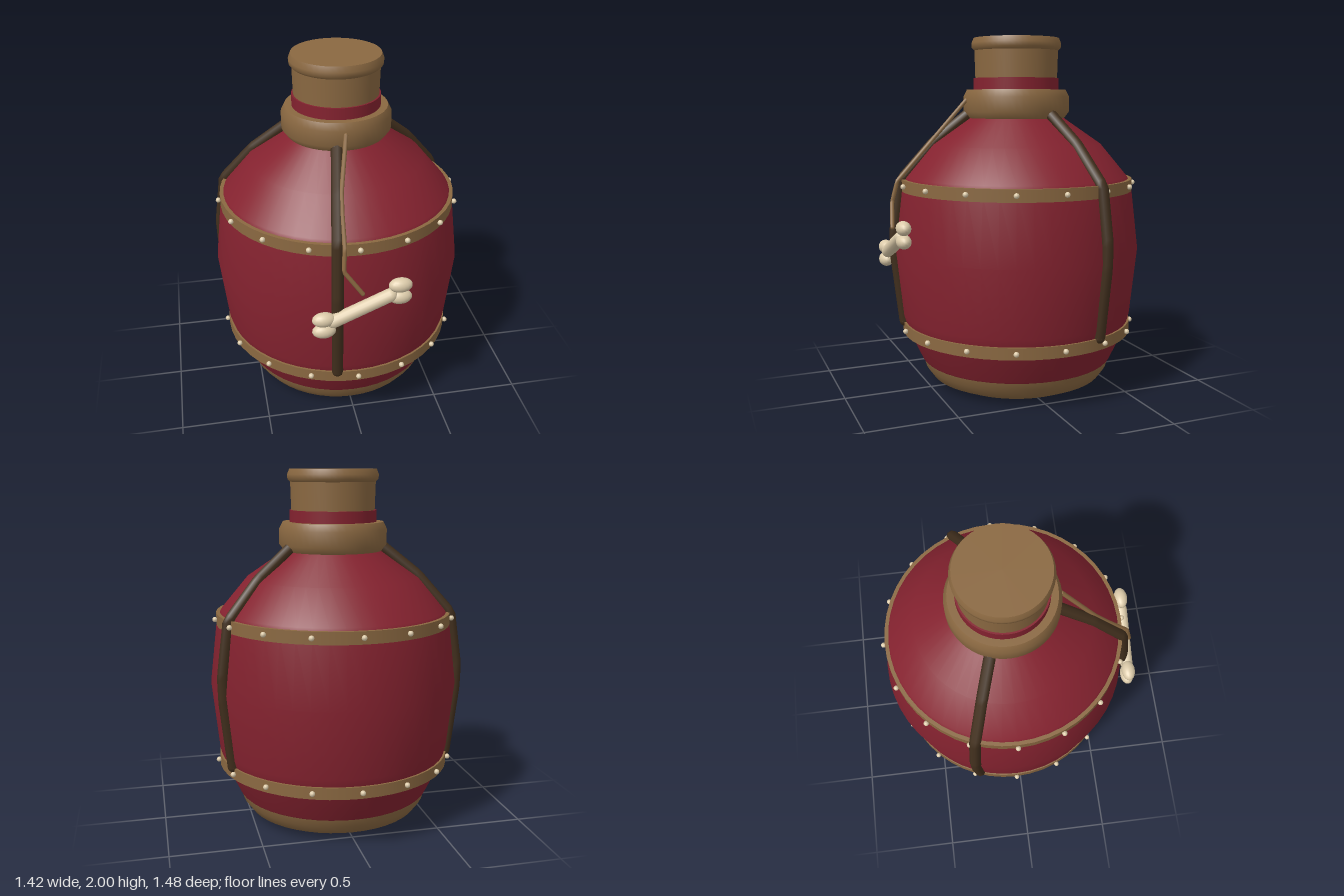
import * as THREE from 'three';

const mat = (name, color, side = THREE.FrontSide) => {
  const m = new THREE.MeshStandardMaterial({ color, side });
  m.name = name;
  return m;
};

export function createModel() {
  const red = mat('red glaze', 0x84222f);
  const tan = mat('tan leather', 0x8a6841);
  const dark = mat('dark strap', 0x412f1d);
  const bone = mat('bone', 0xdccbaa);

  const model = new THREE.Group();
  model.name = 'bottle';
  // everything turned shares one axis, set slightly back
  const vessel = new THREE.Group();
  vessel.name = 'vessel';
  vessel.position.z = -0.035;
  model.add(vessel);

  const add = (parent, name, geo, material) => {
    const m = new THREE.Mesh(geo, material);
    m.name = name;
    parent.add(m);
    return m;
  };
  // profile of [radius, y]; a repeated point makes a sharp edge
  const lathe = (name, pts, material) => add(vessel, name,
    new THREE.LatheGeometry(pts.map(p => new THREE.Vector2(...p)), 48), material);
  // closed round strap through points with straight runs
  const tube = (parent, name, pts, r, material) => {
    const path = new THREE.CurvePath();
    for (let i = 1; i < pts.length; i++) path.add(new THREE.LineCurve3(pts[i - 1], pts[i]));
    const segs = 40, sides = 8;
    const geo = new THREE.TubeGeometry(path, segs, r, sides);
    add(parent, name, geo, material);
    [pts[0], pts[pts.length - 1]].forEach(p => {
      add(parent, name + 'End', new THREE.SphereGeometry(r, sides, 6), material).position.copy(p);
    });
  };

  // body and neck
  lathe('body', [[0.55, 0.14], [0.56, 0.15], [0.645, 0.33], [0.67, 0.42], [0.71, 0.8], [0.665, 1.18],
    [0.64, 1.22], [0.49, 1.4], [0.28, 1.545], [0.245, 1.6]], red);
  lathe('neck', [[0.245, 1.55], [0.245, 1.775], [0.245, 1.775], [0.2, 1.775]], red);

  // base, collar and stopper
  lathe('base', [[0, 0], [0.4, 0], [0.4, 0], [0.5, 0.045], [0.54, 0.1], [0.555, 0.15], [0.555, 0.15], [0.5, 0.15]], tan);
  lathe('collar', [[0.24, 1.545], [0.275, 1.545], [0.275, 1.545], [0.305, 1.585], [0.305, 1.67], [0.285, 1.71],
    [0.285, 1.71], [0.24, 1.71]], tan);
  lathe('stopper', [[0.235, 1.76], [0.24, 1.93], [0.24, 1.93], [0.255, 1.945], [0.257, 1.97], [0.245, 2],
    [0.245, 2], [0, 2]], tan);

  // riveted bands
  for (const [name, y0, y1] of [['lowerBand', 0.312, 0.378], ['upperBand', 1.138, 1.206]]) {
    lathe(name, [[0.62, y0], [0.67, y0], [0.67, y0], [0.67, y1], [0.67, y1], [0.62, y1]], tan);
    for (let i = 0; i < 16; i++) {
      const a = i * Math.PI / 8;
      add(vessel, 'rivet', new THREE.SphereGeometry(0.015, 10, 8), bone)
        .position.set(Math.cos(a) * 0.68, (y0 + y1) / 2 + 0.002, Math.sin(a) * 0.68);
    }
  }

  // three straps from the collar to the lower band
  const strapProfile = [[0.285, 1.57], [0.48, 1.415], [0.67, 1.2], [0.712, 0.9], [0.708, 0.76], [0.663, 0.38]];
  for (const [name, deg] of [['frontStrap', 100], ['leftStrap', -20], ['rightStrap', 200]]) {
    const a = deg * Math.PI / 180;
    tube(vessel, name, strapProfile.map(([r, y]) =>
      new THREE.Vector3(Math.cos(a) * r, y, Math.sin(a) * r)), 0.032, dark);
  }

  // thin cord hanging from the collar
  tube(model, 'cord', [[-0.005, 1.65, 0.27], [-0.065, 1.42, 0.46], [-0.075, 1.34, 0.53], [-0.085, 1.2, 0.655],
    [-0.095, 1.08, 0.685], [0, 0.95, 0.71]].map(p => new THREE.Vector3(...p)), 0.012, tan);

  // bone charm
  const charm = new THREE.Group();
  charm.name = 'boneCharm';
  charm.position.set(0, 0.854, 0.7);
  model.add(charm);
  const shaft = add(charm, 'boneShaft', new THREE.CapsuleGeometry(0.037, 0.33, 6, 14), bone);
  shaft.rotation.z = -Math.PI / 2 + 0.4;
  for (const s of [-1, 1]) for (const dy of [-0.036, 0.036]) {
    const knob = add(charm, 'boneKnob', new THREE.SphereGeometry(1, 18, 12), bone);
    knob.scale.set(0.064, 0.04, 0.04);
    knob.position.set(s * 0.203, s * 0.084 + dy, 0);
  }
  return model;
}
